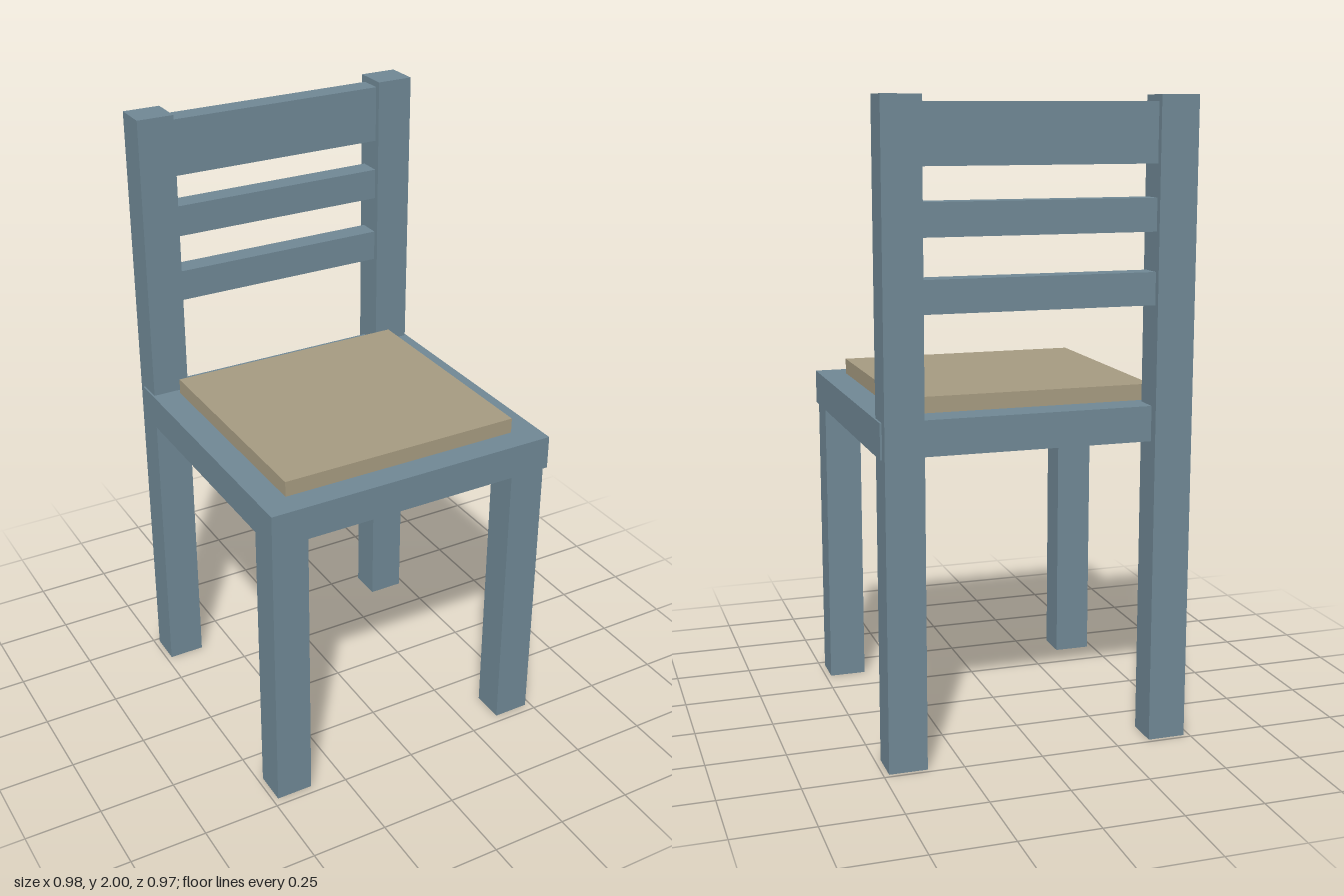
import * as THREE from 'three';

export function createModel() {
  const chair = new THREE.Group();
  chair.name = 'chair';

  const paint = new THREE.MeshStandardMaterial({ color: 0x6f8794, side: THREE.DoubleSide });
  paint.name = 'blue grey paint';
  const fabric = new THREE.MeshStandardMaterial({ color: 0xa59a80 });
  fabric.name = 'tan fabric';

  // Box given by its limits on each axis; openBottom drops the underside face
  function addBox(name, material, [x0, x1], [y0, y1], [z0, z1], openBottom = false) {
    const geometry = new THREE.BoxGeometry(x1 - x0, y1 - y0, z1 - z0);
    if (openBottom) {
      const index = Array.from(geometry.index.array);
      index.splice(18, 6);
      geometry.setIndex(index);
      geometry.clearGroups();
    }
    const mesh = new THREE.Mesh(geometry, material);
    mesh.name = name;
    mesh.position.set((x0 + x1) / 2, (y0 + y1) / 2, (z0 + z1) / 2);
    chair.add(mesh);
  }

  // Legs: hollow at the foot; the back pair runs up to form the back posts
  for (const [side, x] of [['left', [0.362, 0.482]], ['right', [-0.482, -0.362]]]) {
    addBox(`${side}FrontLeg`, paint, x, [0, 0.96], [0.363, 0.472], true);
    addBox(`${side}BackPost`, paint, x, [0, 2], [-0.485, -0.375], true);
  }

  // Seat and cushion
  addBox('seat', paint, [-0.488, 0.488], [0.96, 1.07], [-0.453, 0.485]);
  addBox('cushion', fabric, [-0.4, 0.4], [1.07, 1.12], [-0.353, 0.403]);

  // Back rails
  for (const [name, y] of [
    ['topRail', [1.8, 1.98]],
    ['middleRail', [1.6, 1.7]],
    ['lowerRail', [1.38, 1.48]],
  ]) addBox(name, paint, [-0.364, 0.364], y, [-0.465, -0.393]);

  return chair;
}
